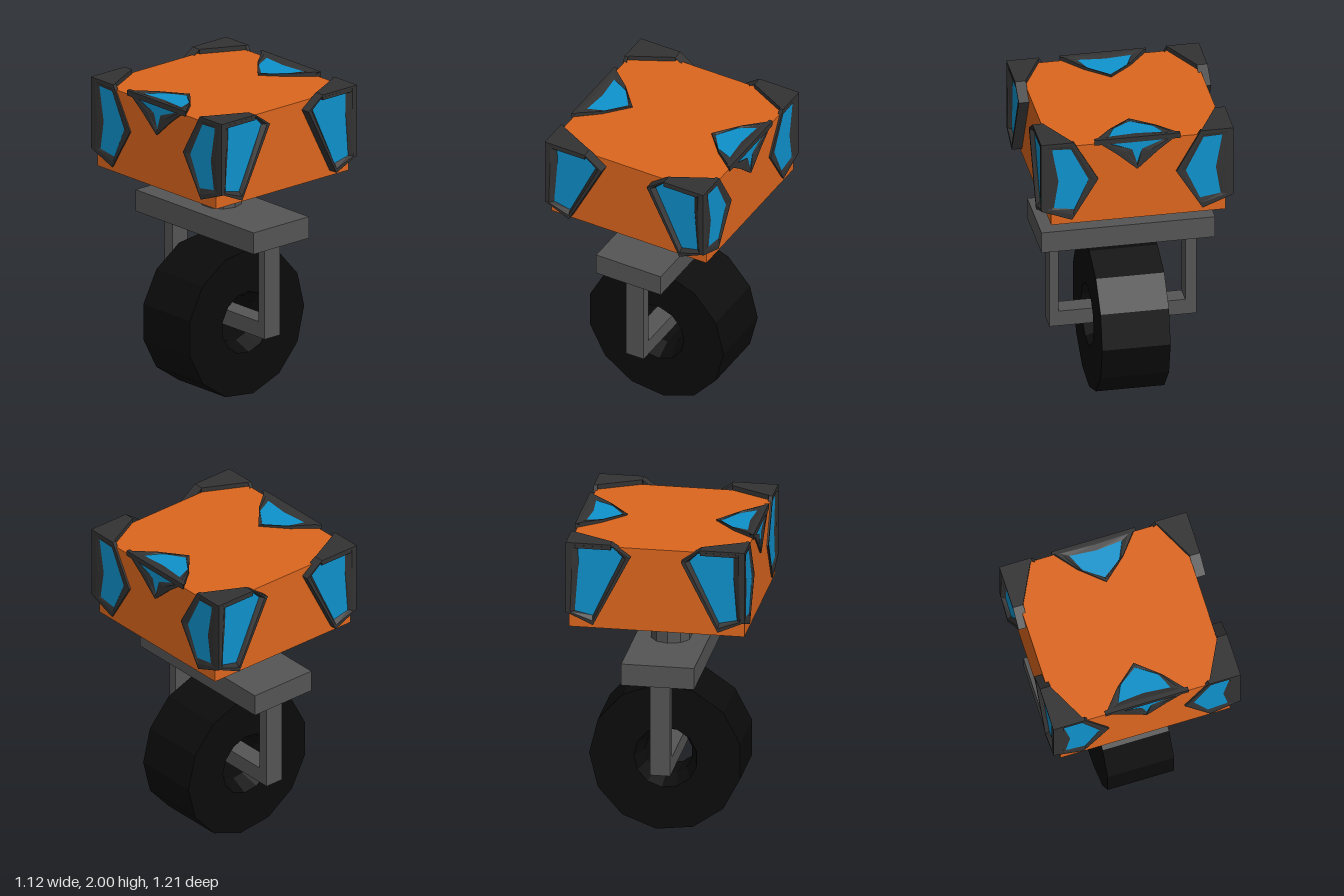
import * as THREE from 'three';

const mat = (color) => new THREE.MeshStandardMaterial({ color, flatShading: true });

export function createModel() {
  const model = new THREE.Group();
  const orange = mat(0xdd661e), blue = mat(0x0e92cc), dark = mat(0x333333);
  const grey = mat(0x555555), rubber = mat(0x0b0b0b);

  const add = (name, geometry, material, parent = model) => {
    const mesh = new THREE.Mesh(geometry, material);
    mesh.name = name;
    parent.add(mesh);
    return mesh;
  };

  // Box given by its extents on each axis
  const box = (name, material, [x0, x1], [y0, y1], [z0, z1]) => {
    const g = new THREE.BoxGeometry(x1 - x0, y1 - y0, z1 - z0);
    g.translate((x0 + x1) / 2, (y0 + y1) / 2, (z0 + z1) / 2);
    return add(name, g, material);
  };

  const fromTriangles = (points) =>  {
    const g = new THREE.BufferGeometry().setFromPoints(points);
    g.computeVertexNormals();
    return g;
  };

  // Dark bezel with a sunken blue window; place(u, v, depth) maps it into space
  function windowPanel(name, outer, inner, place, base, recess) {
    const at = (u, v, d) => new THREE.Vector3(...place(u, v, d));
    const o = at(0, 0, 0);
    const facing = at(1, 0, 0).sub(o).cross(at(0, 1, 0).sub(o)).dot(at(0, 0, -1).sub(o));
    const toV2 = (list) => list.map(([u, v]) => new THREE.Vector2(u, v));
    let a = toV2(outer), b = toV2(inner);
    if (facing * THREE.ShapeUtils.area(a) < 0) {
      a = a.reverse();
      b = b.reverse();
    }
    const rim = a.map((p, i) => p.clone().lerp(b[i], 0.5));
    const loops = [[a, base], [a, 0], [rim, 0], [b, recess]]
      .map(([list, d]) => list.map((p) => at(p.x, p.y, d)));
    const tris = [];
    for (let k = 0; k < loops.length - 1; k++) {
      for (let i = 0; i < a.length; i++) {
        const j = (i + 1) % a.length, L = loops[k], M = loops[k + 1];
        tris.push(L[i], L[j], M[j], L[i], M[j], M[i]);
      }
    }
    const glass = [];
    const floor = loops[3];
    const n = at(0, 0, -1).sub(o);
    for (const [i, j, k] of THREE.ShapeUtils.triangulateShape(b, [])) {
      const p = floor[i], q = floor[j], r = floor[k];
      const outward = q.clone().sub(p).cross(r.clone().sub(p)).dot(n) > 0;
      glass.push(p, ...(outward ? [q, r] : [r, q]));
    }
    const group = new THREE.Group();
    group.name = name;
    add('bezel', fromTriangles(tris), dark, group);
    add('window', fromTriangles(glass), blue, group);
    model.add(group);
  }

  // Body, neck and fork
  box('body', orange, [-0.55, 0.547], [1.43, 1.97], [-0.557, 0.54]);
  const neck = add('neck', new THREE.CylinderGeometry(0.128, 0.128, 0.24, 10), grey);
  neck.position.set(0, 1.315, -0.025);
  box('forkCrown', grey, [-0.235, 0.222], [1.06, 1.2], [-0.555, 0.537]);
  box('forkLegFront', grey, [-0.07, 0.055], [0.445, 1.07], [0.397, 0.455]);
  box('forkLegBack', grey, [-0.07, 0.055], [0.445, 1.07], [-0.47, -0.4]);
  box('axle', grey, [-0.07, 0.055], [0.445, 0.547], [-0.46, 0.45]);

  // Thirteen-sided tyre with a dished hub opening
  const profile = [[0.15, 0.1], [0.15, -0.1], [0.2, -0.215], [0.48, -0.215],
    [0.48, 0.215], [0.2, 0.215], [0.15, 0.1]].map(([r, y]) => new THREE.Vector2(r, y));
  const tyre = new THREE.LatheGeometry(profile, 13, Math.PI / 2);
  tyre.rotateX(Math.PI / 2);
  add('wheel', tyre, rubber).position.set(0, 0.475, -0.01);

  // Corner guards: a panel on each face and a cap on top
  const faceOuter = [[0.28, 2], [0.558, 2], [0.558, 1.85], [0.558, 1.54], [0.39, 1.465], [0.16, 1.915]];
  const faceInner = [[0.265, 1.973], [0.487, 1.97], [0.485, 1.846], [0.508, 1.545], [0.395, 1.52], [0.21, 1.918]];
  const sideOuter = [[0.4, 2], [0.604, 2], [0.604, 1.735], [0.604, 1.535], [0.41, 1.46], [0.245, 1.73]];
  const sideInner = [[0.418, 1.952], [0.535, 1.957], [0.495, 1.735], [0.524, 1.55], [0.395, 1.53], [0.305, 1.73]];
  for (const sx of [1, -1]) {
    for (const sz of [1, -1]) {
      windowPanel('cornerGuardFace', faceOuter, faceInner,
        (u, v, d) => [sx * u, v, sz * (0.605 - d)], 0.068, 0.025);
      windowPanel('cornerGuardSide', sideOuter, sideInner,
        (u, v, d) => [sx * (0.56 - d), v, sz * u], 0.025, 0.007);
      const cap = new THREE.Shape([[0.557, 0.603], [0.557, 0.4], [0.28, 0.54], [0.28, 0.603]]
        .map(([x, z]) => new THREE.Vector2(sx * x, sz * z)));
      const capGeometry = new THREE.ExtrudeGeometry(cap, { depth: 0.035, bevelEnabled: false });
      capGeometry.rotateX(Math.PI / 2);
      add('cornerGuardCap', capGeometry, dark).position.y = 2;
    }
  }

  // Edge lamps wrapped over the middle of each side's top edge
  const topOuter = [[0.28, 0], [0.41, 0.148], [0.56, 0.27], [0.56, 0], [0.56, -0.27], [0.41, -0.148]];
  const topInner = [[0.31, 0], [0.395, 0.12], [0.505, 0.17], [0.49, 0], [0.505, -0.17], [0.395, -0.12]];
  const dropOuter = [[0.27, 2], [-0.27, 2], [-0.13, 1.892], [0, 1.775], [0.13, 1.892]];
  const dropInner = [[0.19, 1.973], [-0.19, 1.973], [-0.03, 1.91], [0, 1.81], [0.03, 1.91]];
  for (const sx of [1, -1]) {
    windowPanel('edgeLampTop', topOuter, topInner,
      (u, v, d) => [sx * u, 2 - d - 0.07 * Math.max(0, 0.56 - u), v], 0.035, 0.007);
    windowPanel('edgeLampSide', dropOuter, dropInner,
      (u, v, d) => [sx * (0.56 - d), v, u], 0.025, 0.007);
  }

  return model;
}
